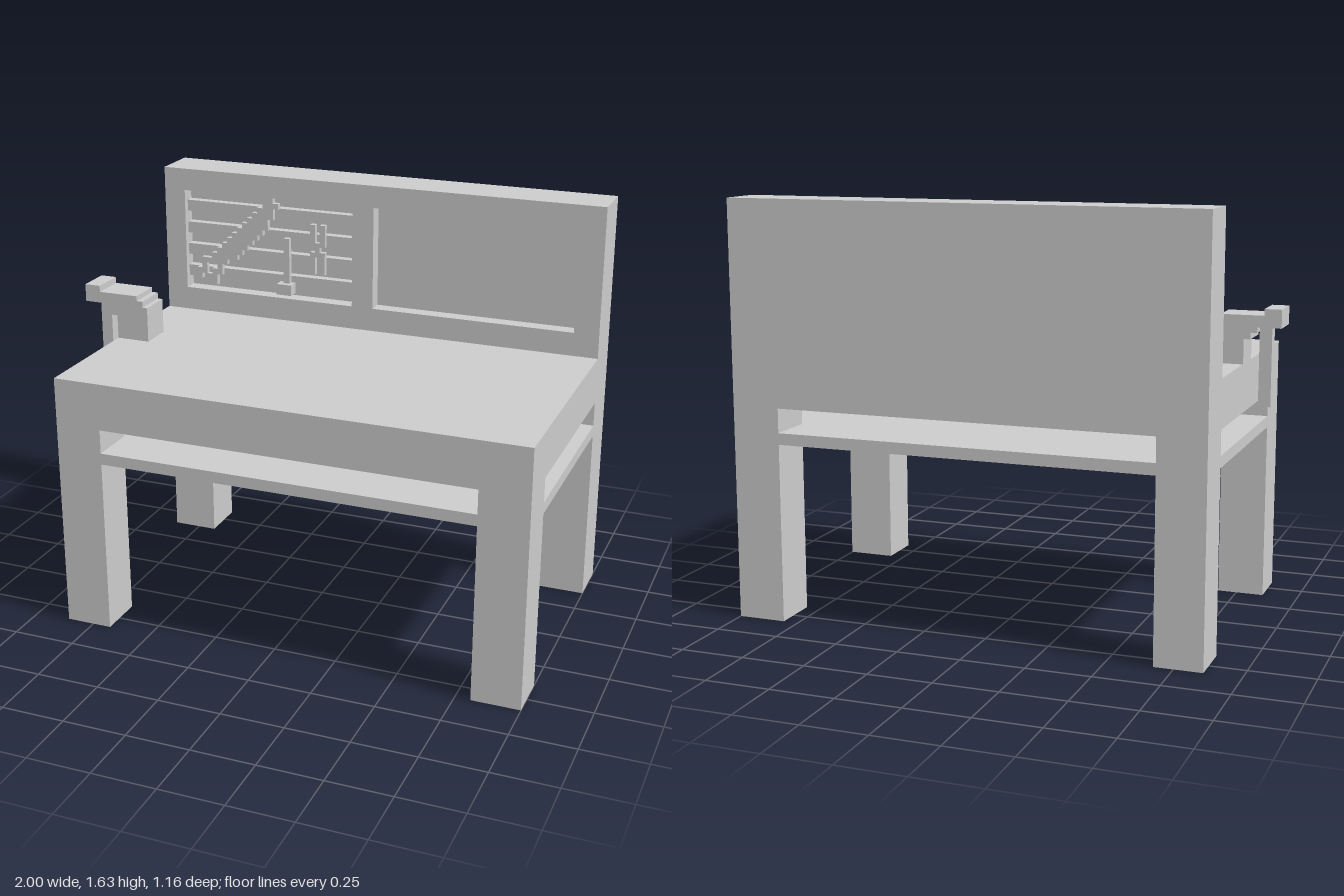
import * as THREE from 'three';

const mat = new THREE.MeshStandardMaterial({ color: 0xcccccc, flatShading: true });

// Box given by its minimum and maximum on each axis
function box(parent, name, x0, x1, y0, y1, z0, z1) {
  const m = new THREE.Mesh(new THREE.BoxGeometry(x1 - x0, y1 - y0, z1 - z0), mat);
  m.position.set((x0 + x1) / 2, (y0 + y1) / 2, (z0 + z1) / 2);
  m.name = name;
  parent.add(m);
  return m;
}

const outline = pts => pts.map(([x, y]) => new THREE.Vector2(x, y));
const rect = (x0, x1, y0, y1) => outline([[x0, y0], [x1, y0], [x1, y1], [x0, y1]]);

function extrude(parent, name, points, depth, holes = []) {
  const shape = new THREE.Shape(points);
  holes.forEach(h => shape.holes.push(new THREE.Path(h)));
  const m = new THREE.Mesh(new THREE.ExtrudeGeometry(shape, { depth, bevelEnabled: false }), mat);
  m.name = name;
  parent.add(m);
  return m;
}

export function createModel() {
  const model = new THREE.Group();
  model.name = 'workbench';
  const L = -0.86, R = 1, F = 0.58, B = -0.58;
  const li = -0.675, ri = 0.81, fi = 0.395, bi = -0.39; // inner faces of the legs
  const under = 0.84, top = 1.025;

  // Legs
  for (const [sx, x0, x1] of [['right', L, li], ['left', ri, R]])
    for (const [sz, z0, z1] of [['Front', fi, F], ['Back', B, bi]])
      box(model, sx + sz + 'Leg', x0, x1, 0, under, z0, z1);

  // Worktop, and a shelf notched around the legs
  box(model, 'worktop', L, R, under, top, bi, F);
  const shelf = extrude(model, 'shelf', outline([
    [li, -F], [ri, -F], [ri, -fi], [R, -fi], [R, -bi], [ri, -bi],
    [ri, -B], [li, -B], [li, -bi], [L, -bi], [L, -fi], [li, -fi],
  ]), 0.045);
  shelf.rotation.x = -Math.PI / 2;
  shelf.position.y = 0.7;

  // Back board with two recessed panels
  const floor = -0.45, r0 = -0.77, r1 = -0.025, rb = 1.12, rt = 1.54;
  box(model, 'backBoard', L, R, under, 1.63, B, floor);
  extrude(model, 'backBoardFrame', rect(L, R, under, 1.63), bi - floor,
    [rect(r0, r1, rb, rt), rect(0.065, 0.9, rb, rt)]).position.z = floor;

  // Tool rack slats
  const band = (rt - rb) / 9, slatZ = -0.415;
  for (let i = 0; i < 4; i++) {
    const y = rb + band * (2 * i + 1);
    box(model, 'rackSlat', r0, r1, y, y + band, floor, slatZ);
  }

  // Hand saw in stepped rows: [row, first column, last column]
  const saw = new THREE.Group();
  saw.name = 'saw';
  model.add(saw);
  const cell = band / 2;
  const rows = [
    [0, 15, 17], [1, 15, 18], [2, 14, 17], [3, 13, 17], [4, 12, 16], [5, 11, 16],
    [6, 10, 15], [7, 9, 14], [8, 8, 13], [9, 7, 12], [10, 6, 11], [11, 5, 10],
    [12, 3, 8], [13, 3, 4], [13, 6, 7], [14, 2, 4], [14, 5, 7], [15, 2, 3],
    [15, 4, 6], [16, 5, 6],
  ];
  for (const [r, a, b] of rows)
    box(saw, r < 12 ? 'sawBlade' : 'sawHandle', r0 + a * cell, r0 + b * cell,
      rt - (r + 1) * cell, rt - r * cell, slatZ, -0.393);

  // Hammer
  box(model, 'hammerHandle', -0.328, -0.302, 1.185, 1.375, slatZ, -0.393);
  box(model, 'hammerHead', -0.35, -0.285, 1.14, 1.185, slatZ, -0.37);

  // Pliers
  for (const x of [-0.21, -0.167]) {
    box(model, 'pliersJaw', x, x + 0.022, 1.352, 1.445, slatZ, -0.393);
    box(model, 'pliersGrip', x, x + 0.022, 1.235, 1.33, slatZ, -0.393);
  }
  box(model, 'pliersJoint', -0.188, -0.167, 1.31, 1.37, slatZ, -0.393);

  // Vise overhanging the worktop's end
  extrude(model, 'vise', outline([
    [-0.86, top], [-0.725, top], [-0.725, 1.165], [-0.745, 1.165], [-0.745, 1.19],
    [-0.77, 1.19], [-0.77, 1.21], [-0.935, 1.21], [-0.935, 1.235], [-1, 1.235],
    [-1, 1.165], [-0.91, 1.165], [-0.91, 1.145], [-0.885, 1.145], [-0.885, 1.12], [-0.86, 1.12],
  ]), 0.135).position.z = -0.067;
  box(model, 'viseHandle', -0.957, -0.91, 0.862, 1.165, -0.023, 0.023);

  return model;
}
